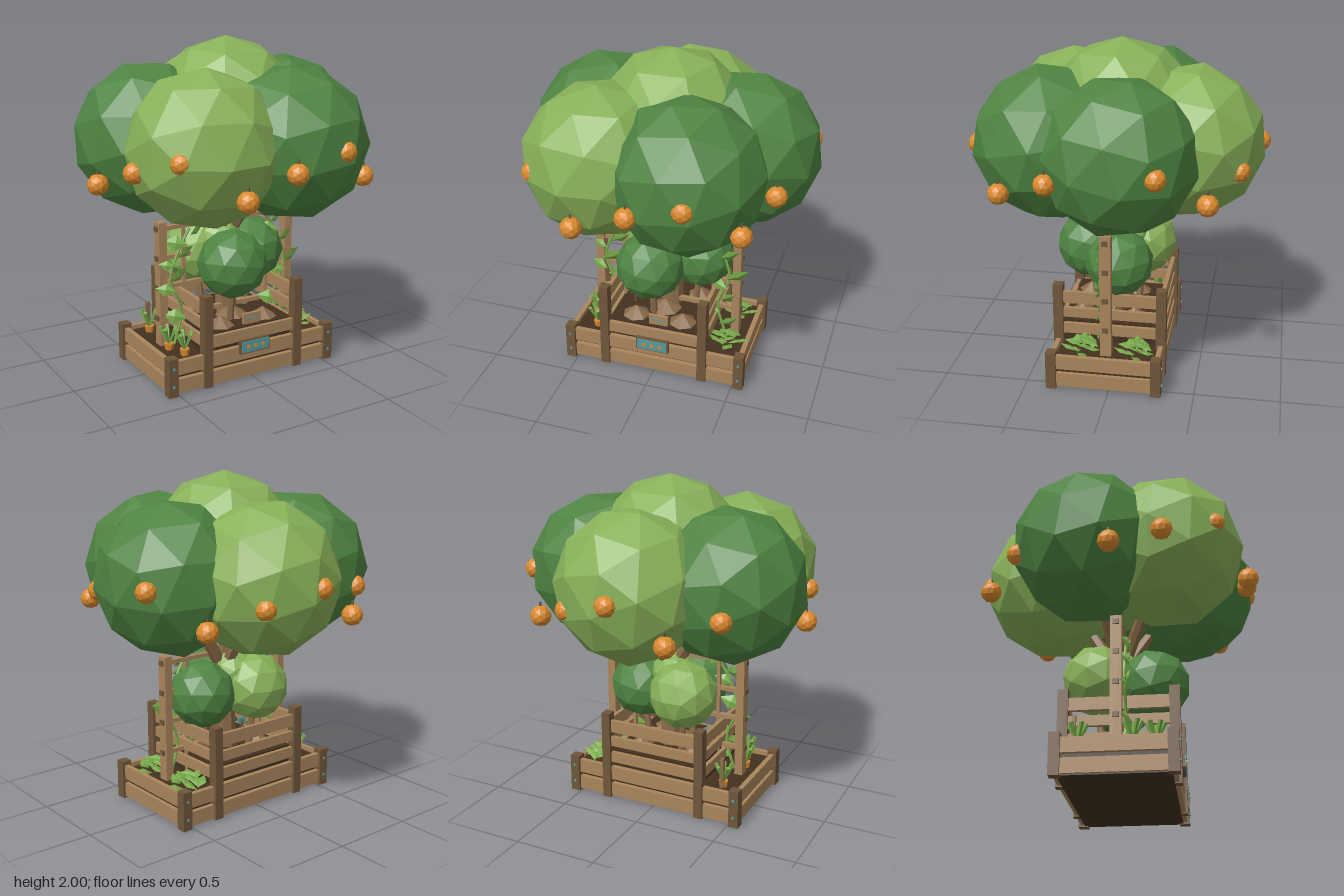
import * as THREE from 'three';

const mat = (name, color, side = THREE.FrontSide) => {
  const m = new THREE.MeshStandardMaterial({ color, flatShading: true, side });
  m.name = name;
  return m;
};

export function createModel() {
  const M = {
    plank: mat('plankWood', 0xa9855c),
    post: mat('darkWood', 0x6f563b),
    soil: mat('soil', 0x43301f),
    bark: mat('bark', 0x8b6b4a),
    dark: mat('darkFoliage', 0x4f8442),
    light: mat('lightFoliage', 0x88b058),
    leaf: mat('leafGreen', 0x7aad4c),
    orange: mat('orange', 0xdb8a2e),
    teal: mat('teal', 0x559a9c),
  };
  const root = new THREE.Group();
  const group = (name) => {
    const g = new THREE.Group();
    g.name = name;
    root.add(g);
    return g;
  };
  const add = (parent, name, geo, m, x, y, z) => {
    const o = new THREE.Mesh(geo, m);
    o.name = name;
    o.position.set(x, y, z);
    parent.add(o);
    return o;
  };
  const box = (p, name, m, w, h, d, x, y, z) => add(p, name, new THREE.BoxGeometry(w, h, d), m, x, y, z);
  const rod = (p, name, m, a, b, r0, r1, sides = 6) => {
    const A = new THREE.Vector3(...a), B = new THREE.Vector3(...b);
    const dir = B.clone().sub(A);
    const o = add(p, name, new THREE.CylinderGeometry(r1, r0, dir.length(), sides), m, 0, 0, 0);
    o.position.copy(A).add(B).multiplyScalar(0.5);
    o.quaternion.setFromUnitVectors(new THREE.Vector3(0, 1, 0), dir.normalize());
    return o;
  };
  const leafGeo = new THREE.OctahedronGeometry(1);
  const leaf = (p, x, y, z, rx, ry, rz, s = 0.07) => {
    const o = add(p, 'leaf', leafGeo, M.leaf, x, y, z);
    o.scale.set(s, s * 0.6, s * 0.18);
    o.rotation.set(rx, ry, rz);
  };
  const F = 0.34, B = -0.28, MID = 0.03;

  // Low planter box with dark corner posts
  const planter = group('planterBox');
  box(planter, 'base', M.soil, 1.08, 0.02, 0.6, 0, 0.02, MID);
  box(planter, 'soilBed', M.soil, 1.06, 0.17, 0.58, 0, 0.105, MID);
  for (const y of [0.06, 0.172]) {
    for (const z of [F, B]) box(planter, 'longPlank', M.plank, 1.08, 0.085, 0.03, 0, y, z);
    for (const x of [-0.54, 0.54]) box(planter, 'endPlank', M.plank, 0.03, 0.085, 0.6, x, y, MID);
  }
  for (const x of [-0.54, 0.54]) for (const z of [F, B]) {
    box(planter, 'cornerPost', M.post, 0.06, 0.235, 0.06, x, 0.122, z);
    for (const y of [0.07, 0.18]) {
      const s = Math.sign(z);
      const bolt = add(planter, 'bolt', new THREE.CylinderGeometry(0.009, 0.009, 0.008, 6), M.teal, x, y, z + s * 0.033);
      bolt.rotation.x = Math.PI / 2;
    }
  }

  // Tall middle crate, low at the front
  const crate = group('tallCrate');
  for (const x of [-0.31, 0.31]) for (const z of [F, B])
    box(crate, 'cratePost', M.post, 0.055, 0.56, 0.06, x, 0.29, z);
  for (const [y, h] of [[0.28, 0.065], [0.385, 0.06], [0.485, 0.075]]) {
    box(crate, 'backSlat', M.plank, 0.6, h, 0.025, 0, y, B);
    for (const x of [-0.31, 0.31]) box(crate, 'sideSlat', M.plank, 0.025, h, 0.58, x, y, MID);
  }
  box(crate, 'frontSlat', M.plank, 0.6, 0.07, 0.025, 0, 0.282, F);
  box(crate, 'crateSoil', M.soil, 0.58, 0.14, 0.58, 0, 0.25, MID);
  // Mulch mounds on the crate soil
  for (const [x, z, r] of [[-0.15, 0.22, 0.1], [0.15, 0.22, 0.1], [0, 0.1, 0.12], [-0.18, -0.08, 0.09], [0.17, -0.1, 0.09]])
    add(crate, 'mulchMound', new THREE.ConeGeometry(r, 0.07, 7), M.bark, x, 0.345, z);

  // Front sign and small plant tags
  const sign = group('sign');
  box(sign, 'signFrame', M.post, 0.205, 0.085, 0.02, 0, 0.215, 0.365);
  box(sign, 'signPlate', M.teal, 0.185, 0.068, 0.008, 0, 0.215, 0.377);
  for (const x of [-0.05, 0, 0.05])
    add(sign, 'signDot', new THREE.CylinderGeometry(0.012, 0.012, 0.006, 8), M.orange, x, 0.215, 0.383).rotation.x = Math.PI / 2;
  box(sign, 'tagBoard', M.plank, 0.12, 0.065, 0.02, 0.02, 0.36, 0.3);
  box(sign, 'tagStripe', M.teal, 0.08, 0.008, 0.006, 0.02, 0.365, 0.312);
  box(sign, 'backTag', M.teal, 0.05, 0.035, 0.015, -0.2, 0.4, 0.1);
  box(sign, 'backTagStake', M.post, 0.012, 0.1, 0.012, -0.2, 0.35, 0.095);

  // Trellis across the middle
  const trellis = group('trellis');
  for (const x of [-0.44, 0.44]) box(trellis, 'trellisPost', M.plank, 0.05, 0.93, 0.065, x, 0.485, MID);
  for (const x of [-0.29, 0.29]) box(trellis, 'trellisUpright', M.plank, 0.02, 0.72, 0.02, x, 0.55, MID);
  for (const y of [0.36, 0.55, 0.73, 0.91]) {
    box(trellis, 'trellisRail', M.plank, 0.94, 0.025, 0.03, 0, y, MID);
    for (const x of [-0.468, 0.468]) box(trellis, 'railEnd', M.post, 0.012, 0.03, 0.035, x, y, MID);
  }

  // Climbing vines on both sides of the trellis
  const vines = group('vines');
  for (const s of [-1, 1]) {
    const path = [[0.38, 0.19], [0.33, 0.4], [0.4, 0.6], [0.35, 0.76], [0.27, 0.9]].map(([x, y]) => new THREE.Vector3(s * x, y, 0.07));
    const curve = new THREE.CatmullRomCurve3(path);
    add(vines, 'vineStem', new THREE.TubeGeometry(curve, 16, 0.009, 5), M.leaf, 0, 0, 0);
    for (let i = 1; i < 10; i++) {
      const p = curve.getPoint(i / 9.3), k = i % 2 ? 1 : -1;
      leaf(vines, p.x + k * 0.05, p.y, p.z + 0.01, k * 0.3, k * 0.35, k * 0.3, 0.05 + 0.013 * (i % 3));
    }
  }

  // Lettuces in the left bed
  const lettuce = group('lettuces');
  for (const [x, z] of [[0.42, 0.18], [0.42, -0.14]])
    for (let i = 0; i < 14; i++) {
      const a = i * 2.4, r = 0.025 + 0.005 * i;
      leaf(lettuce, x + Math.cos(a) * r, 0.265 - i * 0.004, z + Math.sin(a) * r, 1.3, 0.35 * Math.cos(a), -a, 0.055);
    }

  // Carrots in the right bed
  const carrots = group('carrots');
  for (const [x, z] of [[-0.42, -0.18], [-0.44, 0.12], [-0.4, 0.24]]) {
    add(carrots, 'carrotTop', new THREE.CylinderGeometry(0.03, 0.022, 0.05, 7), M.orange, x, 0.205, z);
    for (let i = 0; i < 5; i++) {
      const a = i * 1.257;
      rod(carrots, 'carrotLeaf', M.leaf, [x, 0.22, z], [x + Math.cos(a) * 0.05, 0.33, z + Math.sin(a) * 0.05], 0.006, 0.014, 4);
    }
  }
  box(carrots, 'carrotStake', M.bark, 0.025, 0.2, 0.02, -0.42, 0.28, -0.2);

  // Foliage balls: x, y, z, radius, material
  const crowns = [
    [0.02, 1.55, 0, 0.45, M.light],
    [0.435, 1.42, -0.05, 0.45, M.dark], [0.22, 1.42, 0.385, 0.45, M.dark],
    [-0.31, 1.42, 0.32, 0.45, M.light], [-0.415, 1.42, -0.13, 0.45, M.dark],
    [0.06, 1.42, -0.39, 0.45, M.light],
  ];
  const shrubs = [
    [-0.06, 0.685, 0.21, 0.21, M.dark], [0.2, 0.685, -0.01, 0.205, M.dark], [-0.12, 0.7, -0.11, 0.21, M.light],
  ];
  const ball = (p, name, [x, y, z, r, m], i) =>
    add(p, name, new THREE.IcosahedronGeometry(r, 1), m, x, y, z).rotation.set(0.2 * i, 1.1 * i, 0.15 * i);
  const tree = group('tree');
  crowns.forEach((c, i) => ball(tree, 'crown', c, i));
  add(tree, 'upperShrub', new THREE.IcosahedronGeometry(0.15, 1), M.light, -0.02, 0.78, -0.02);
  shrubs.forEach((c, i) => {
    ball(tree, 'shrub', c, i + 1);
    rod(tree, 'shrubStem', M.bark, [c[0] * 0.8, 0.3, c[2] * 0.8], [c[0], 0.6, c[2]], 0.022, 0.018);
  });
  // Trunk and branches
  rod(tree, 'trunk', M.bark, [0.02, 0.3, 0], [0.02, 0.88, 0], 0.07, 0.055, 8);
  for (const [x, y, z] of crowns) rod(tree, 'branch', M.bark, [0.02 + x * 0.05, 0.82, z * 0.05], [x * 0.7, y - 0.18, z * 0.7], 0.04, 0.028);

  // Oranges around the crown
  const fruit = group('oranges');
  for (const [x, y, z] of [
    [-0.31, 1.22, 0.78], [0, 1.33, 0.78], [0.31, 1.42, 0.78], [0.58, 1.22, 0.6], [0.7, 1.33, 0.31],
    [0.78, 1.42, -0.29], [0.58, 1.22, -0.55], [0.31, 1.33, -0.7], [0, 1.42, -0.8], [-0.31, 1.22, -0.73],
    [-0.54, 1.33, -0.53], [-0.82, 1.22, 0.03], [-0.73, 1.33, 0.31], [-0.6, 1.42, 0.6],
  ]) {
    add(fruit, 'orange', new THREE.IcosahedronGeometry(0.062, 1), M.orange, x, y, z);
    add(fruit, 'orangeStem', new THREE.CylinderGeometry(0.006, 0.008, 0.03, 5), M.post, x, y + 0.068, z);
  }
  return root;
}
